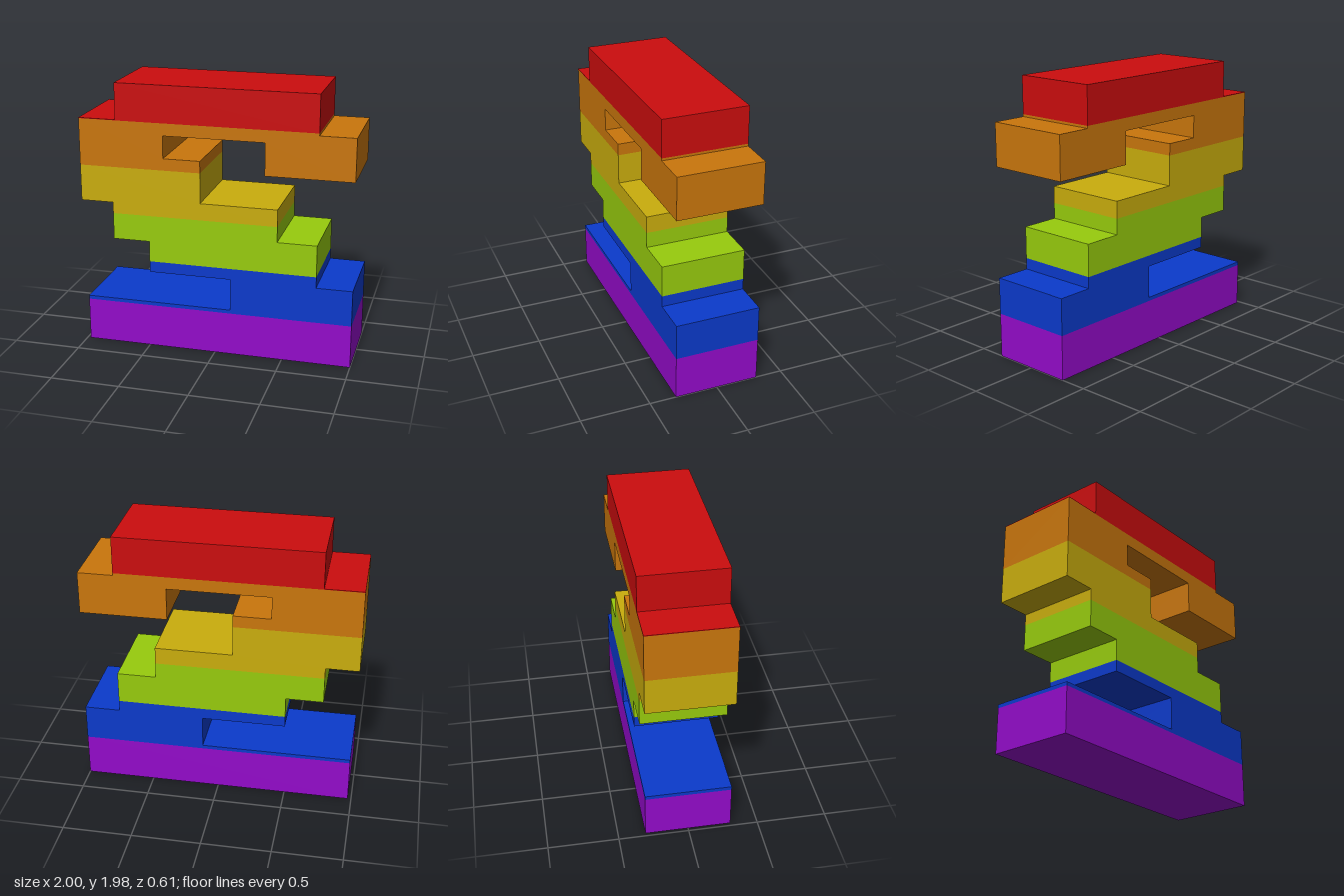
import * as THREE from 'three';

const DEPTH = 0.614;

function material(name, color) {
  const m = new THREE.MeshStandardMaterial({ color });
  m.name = name;
  return m;
}

// Extrudes a front outline (x, y corners, counter-clockwise) through the full depth.
function slab(name, mat, outline) {
  const shape = new THREE.Shape(outline.map(([x, y]) => new THREE.Vector2(x, y)));
  const geometry = new THREE.ExtrudeGeometry(shape, { depth: DEPTH, bevelEnabled: false });
  geometry.translate(0, 0, -DEPTH / 2);
  const mesh = new THREE.Mesh(geometry, mat);
  mesh.name = name;
  return mesh;
}

export function createModel() {
  const group = new THREE.Group();
  group.name = 'steppedTower';

  // Heights where one colour band meets the next
  const y1 = 0.32, y2 = 0.667, y3 = 1.015, y4 = 1.363, y5 = 1.705;

  group.add(
    // Long base block
    slab('base', material('purple', 0x930bc9), [
      [-0.975, 0], [1, 0], [1, y1], [-0.975, y1],
    ]),
    // Thin floor with a right-hand post and an overhanging shelf
    slab('lowerPost', material('blue', 0x0b3acb), [
      [-0.975, y1], [1, y1], [1, 0.585], [0.74, 0.585], [0.74, y2], [-0.49, y2],
      [-0.49, 0.585], [0.115, 0.585], [0.115, 0.347], [-0.975, 0.347],
    ]),
    // Steps leaning to the left
    slab('middleStep', material('green', 0x97cb0d), [
      [-0.49, y2], [0.74, y2], [0.74, 0.9], [0.455, 0.9], [0.455, y3],
      [-0.76, y3], [-0.76, 0.82], [-0.49, 0.82],
    ]),
    slab('upperStep', material('yellow', 0xc9ad0d), [
      [-0.76, y3], [0.455, y3], [0.455, 1.14], [-0.105, 1.14], [-0.105, y4],
      [-1, y4], [-1, 1.097], [-0.76, 1.097],
    ]),
    // Bridge with a hanging block on the right
    slab('bridge', material('orange', 0xc9760c), [
      [-1, y4], [-0.105, y4], [-0.105, 1.45], [-0.375, 1.45], [-0.375, 1.615],
      [0.36, 1.615], [0.36, 1.378], [0.99, 1.378], [0.99, 1.688], [0.735, 1.688],
      [0.735, y5], [-1, y5],
    ]),
    // Top block with a thin skin over the left ledge
    slab('topBlock', material('red', 0xcb0d0e), [
      [-1, y5], [0.735, y5], [0.735, 1.975], [-0.725, 1.975], [-0.725, 1.71], [-1, 1.71],
    ]),
  );
  return group;
}
